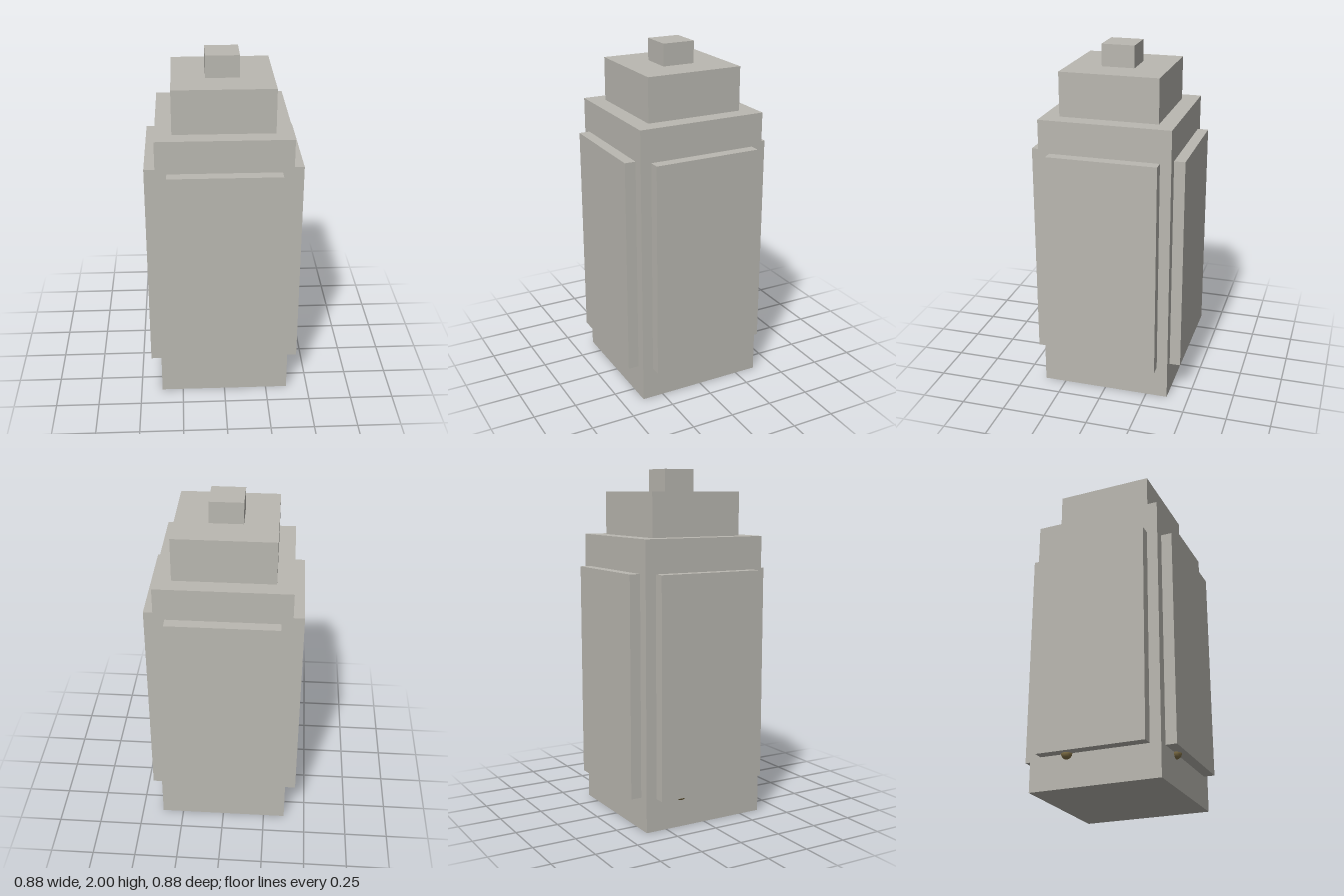
import * as THREE from 'three';

export function createModel() {
  const stone = new THREE.MeshStandardMaterial({ name: 'pale grey', color: 0xbab8b1 });
  const brass = new THREE.MeshStandardMaterial({ name: 'dull brass', color: 0x86754a });
  const model = new THREE.Group();
  model.name = 'steppedBooth';

  function box(parent, name, width, depth, y0, y1, z = 0) {
    const mesh = new THREE.Mesh(new THREE.BoxGeometry(width, y1 - y0, depth), stone);
    mesh.name = name;
    mesh.position.set(0, (y0 + y1) / 2, z);
    parent.add(mesh);
  }

  // Stacked square tiers
  box(model, 'body', 0.75, 0.75, 0, 1.625);
  box(model, 'roofTier', 0.5625, 0.5625, 1.625, 1.875);
  box(model, 'topLamp', 0.1875, 0.1875, 1.875, 2);

  // Each side carries a raised panel with a small knob under its lower edge
  const knobGeometry = new THREE.SphereGeometry(0.032, 12, 8);
  ['front', 'left', 'back', 'right'].forEach((name, i) => {
    const side = new THREE.Group();
    side.name = name + 'Side';
    box(side, name + 'Panel', 0.625, 0.0625, 0.1875, 1.4375, 0.40625);
    const knob = new THREE.Mesh(knobGeometry, brass);
    knob.name = name + 'Knob';
    knob.position.set(-0.156, 0.1875, 0.375);
    side.add(knob);
    side.rotation.y = i * Math.PI / 2;
    model.add(side);
  });

  return model;
}
